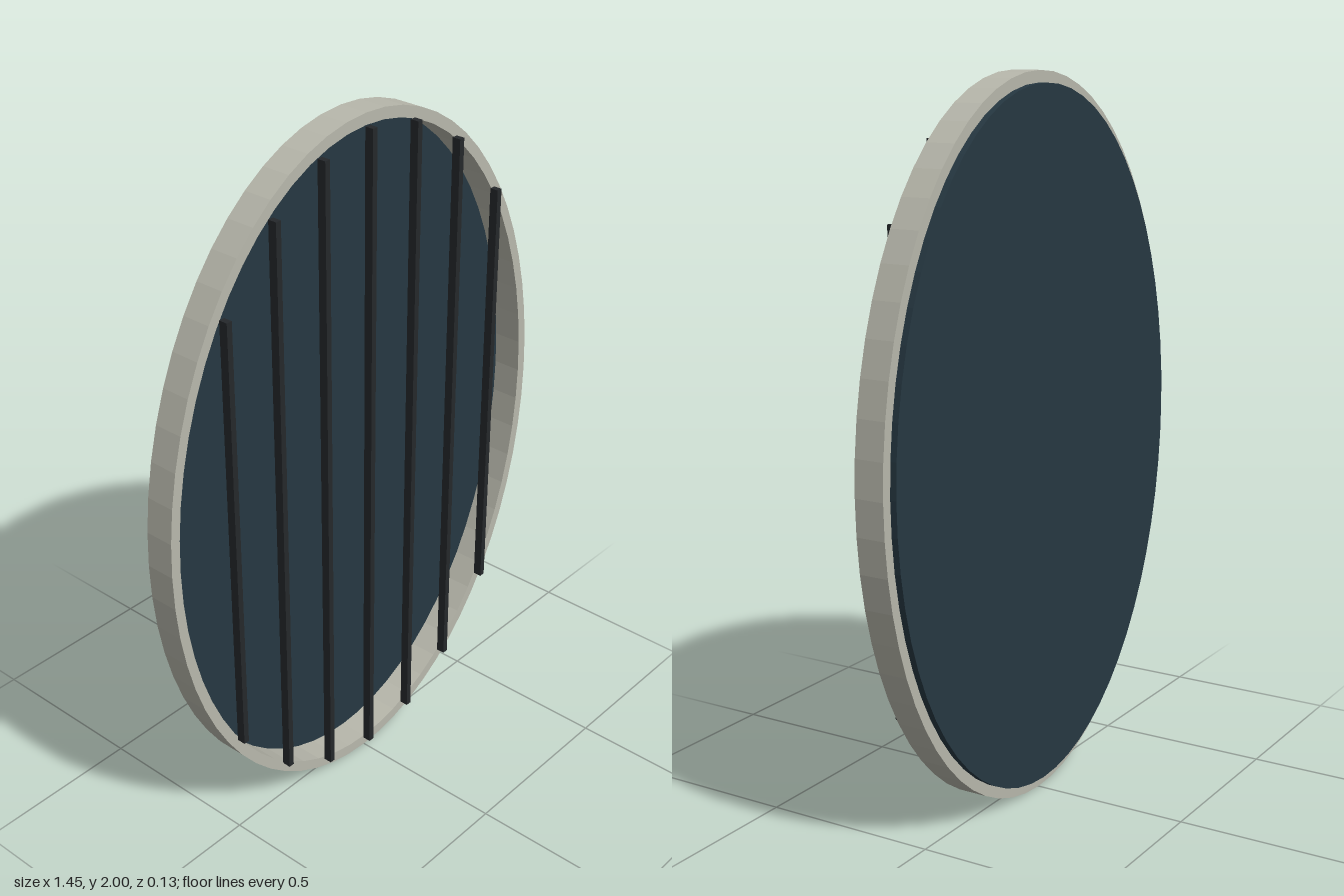
import * as THREE from 'three';

const RX = 0.725, RY = 1;            // outer ellipse of the frame
const INNER_RX = 0.696, INNER_RY = 0.968; // opening and back panel

function ellipse(Kind, rx, ry) {
  const s = new Kind();
  s.absellipse(0, 0, rx, ry, 0, Math.PI * 2, false, 0);
  return s;
}

// Extrudes a shape between two depths, centred at y = 1
function slab(name, shape, z0, z1, material) {
  const geo = new THREE.ExtrudeGeometry(shape, { depth: z1 - z0, bevelEnabled: false, curveSegments: 32 });
  const mesh = new THREE.Mesh(geo, material);
  mesh.name = name;
  mesh.position.set(0, RY, z0);
  return mesh;
}

export function createModel() {
  const group = new THREE.Group();
  group.name = 'ovalGrille';
  const frameMat = new THREE.MeshStandardMaterial({ color: 0xb8b8ac });
  const panelMat = new THREE.MeshStandardMaterial({ color: 0x263842 });
  const barMat = new THREE.MeshStandardMaterial({ color: 0x25282b });

  // Oval frame, open through the middle
  const ring = ellipse(THREE.Shape, RX, RY);
  ring.holes.push(ellipse(THREE.Path, INNER_RX, INNER_RY));
  group.add(slab('frame', ring, -0.048, 0.036, frameMat));

  // Panel closing the back of the frame
  group.add(slab('backPanel', ellipse(THREE.Shape, INNER_RX, INNER_RY), -0.066, -0.047, panelMat));

  // Vertical bars in front, each cut to the height of the opening
  const bars = new THREE.Group();
  bars.name = 'bars';
  for (let i = -3; i <= 3; i++) {
    const x = i * 0.174;
    const height = 2 * INNER_RY * Math.sqrt(1 - (x / INNER_RX) ** 2);
    const bar = new THREE.Mesh(new THREE.BoxGeometry(0.017, height, 0.025), barMat);
    bar.name = 'bar';
    bar.position.set(x, RY, 0.0535);
    bars.add(bar);
  }
  group.add(bars);
  return group;
}
